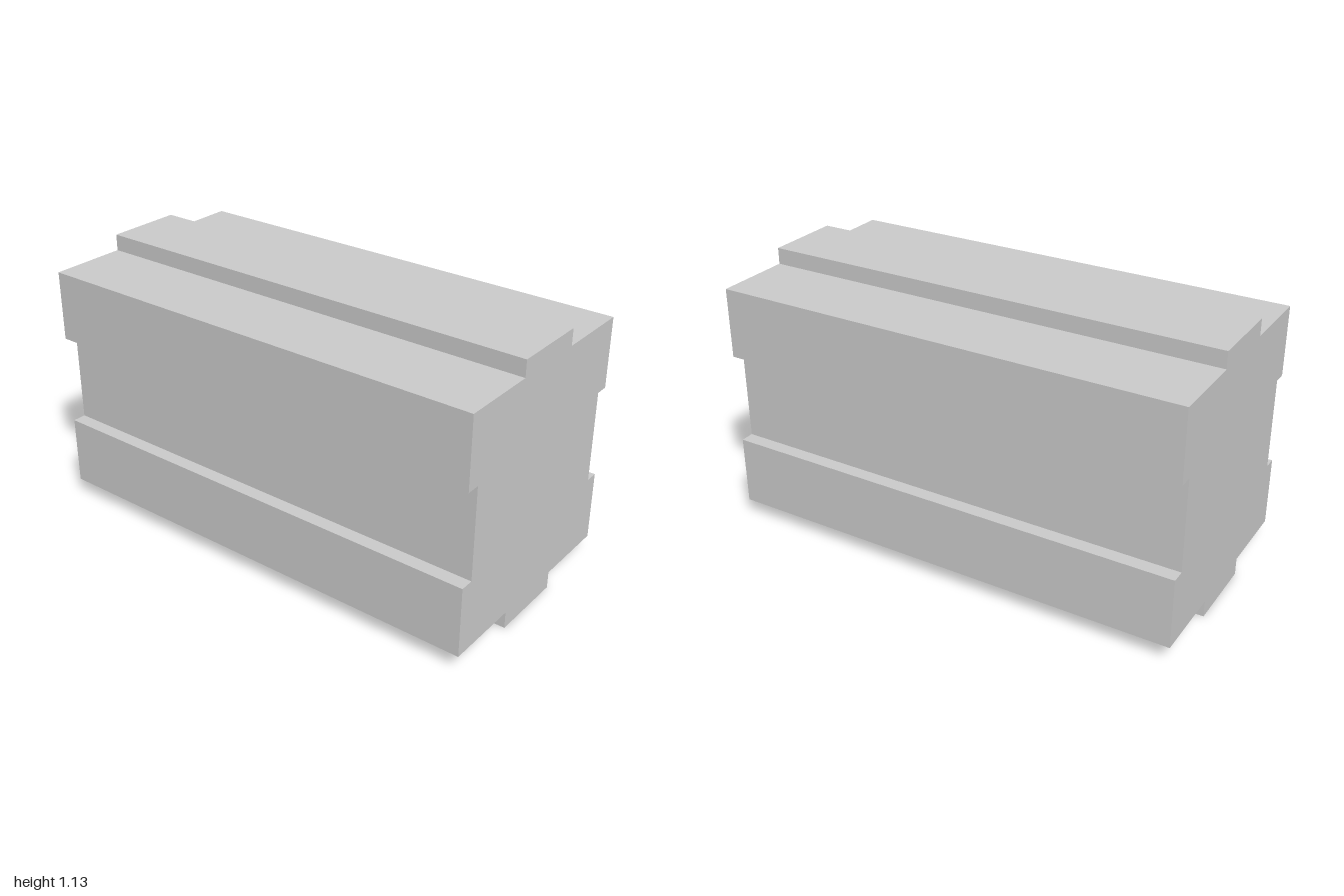
import * as THREE from 'three';

export function createModel() {
  const group = new THREE.Group();
  group.name = 'groovedBeam';

  // Right half of the cross-section, bottom to top
  const half = [
    [0.165, 0], [0.165, 0.072], [0.495, 0.072], [0.495, 0.37],
    [0.437, 0.37], [0.437, 0.761], [0.495, 0.761], [0.495, 1.06],
    [0.165, 1.06], [0.165, 1.13],
  ];
  // Mirror it to close the outline counter-clockwise
  const mirrored = half.map(([x, y]) => [-x, y]).reverse();
  const outline = [...half, ...mirrored].map(([x, y]) => new THREE.Vector2(x, y));

  // Beam with tongues above and below and a groove along each side
  const length = 2;
  const geometry = new THREE.ExtrudeGeometry(new THREE.Shape(outline), {
    depth: length,
    bevelEnabled: false,
  });
  geometry.translate(0, 0, -length / 2);

  const material = new THREE.MeshStandardMaterial({ color: 0xcccccc, flatShading: true });
  const beam = new THREE.Mesh(geometry, material);
  beam.name = 'beam';
  group.add(beam);
  return group;
}
